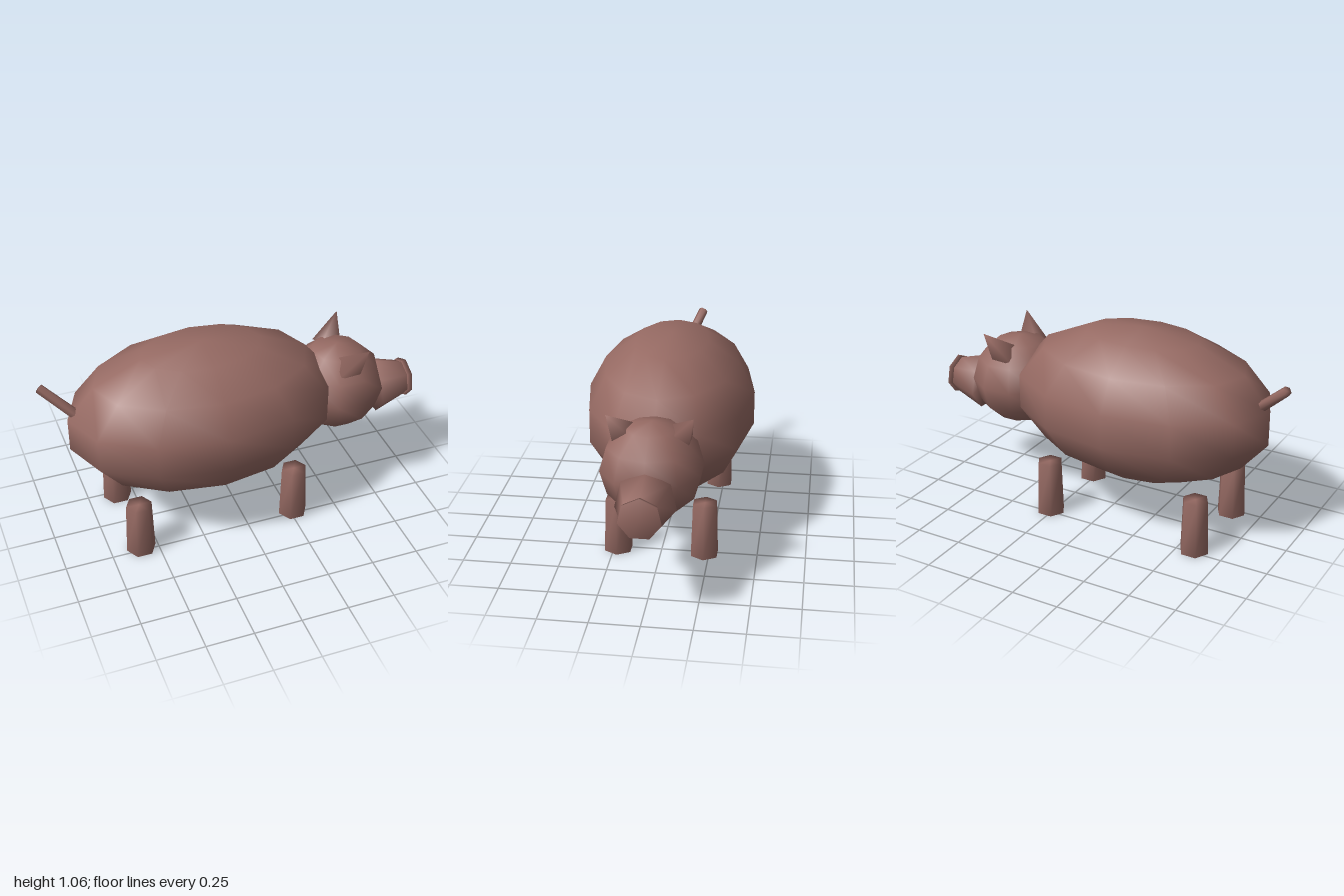
import * as THREE from 'three';
import { mergeVertices } from 'three/addons/utils/BufferGeometryUtils.js';

const skin = new THREE.MeshStandardMaterial({ color: 0x966a63 });
skin.name = 'dusty pink skin';

// Weld all corners so normals run smoothly over the low-poly shape
function smooth(geometry) {
  geometry.deleteAttribute('uv');
  geometry.deleteAttribute('normal');
  const welded = mergeVertices(geometry, 1e-4);
  welded.computeVertexNormals();
  return welded;
}

function part(name, geometry) {
  const mesh = new THREE.Mesh(smooth(geometry), skin);
  mesh.name = name;
  return mesh;
}

function ellipsoid(name, center, radii, around, rings) {
  const geometry = new THREE.SphereGeometry(1, around, rings);
  geometry.scale(...radii).translate(...center);
  return part(name, geometry);
}

// Tapered prism between two points
function taper(name, from, to, r0, r1, sides, turn = 0) {
  const a = new THREE.Vector3(...from);
  const b = new THREE.Vector3(...to);
  const axis = b.clone().sub(a);
  const geometry = new THREE.CylinderGeometry(r1, r0, axis.length(), sides, 1, false, turn);
  geometry.applyQuaternion(
    new THREE.Quaternion().setFromUnitVectors(new THREE.Vector3(0, 1, 0), axis.normalize()));
  const mid = a.add(b).multiplyScalar(0.5);
  geometry.translate(mid.x, mid.y, mid.z);
  return part(name, geometry);
}

export function createModel() {
  const pig = new THREE.Group();
  pig.name = 'pig';

  // Body and head
  pig.add(ellipsoid('body', [-0.165, 0.655, 0], [0.723, 0.405, 0.45], 12, 7));
  pig.add(ellipsoid('head', [0.582, 0.633, 0], [0.257, 0.243, 0.257], 10, 6));

  // Snout with a flared nose disc
  const up = -Math.PI / 2;
  pig.add(taper('snout', [0.805, 0.56, 0], [0.98, 0.565, 0], 0.152, 0.096, 7, up));
  pig.add(taper('noseDisc', [0.975, 0.565, 0], [1, 0.565, 0], 0.1, 0.106, 7, up));

  // Ears and legs, mirrored across the body
  for (const side of [1, -1]) {
    const label = side > 0 ? 'Near' : 'Far';
    pig.add(taper('ear' + label, [0.585, 0.79, side * 0.13], [0.67, 0.93, side * 0.207],
      0.083, 0, 4, Math.PI / 4));
    for (const [end, x] of [['front', 0.265], ['back', -0.59]]) {
      pig.add(taper(end + 'Leg' + label, [x, 0, side * 0.226], [x, 0.295, side * 0.226],
        0.0775, 0.068, 6, Math.PI / 2));
    }
  }

  // Tail
  pig.add(taper('tail', [-0.81, 0.755, 0], [-0.98, 0.915, -0.08], 0.028, 0.025, 6));

  return pig;
}
